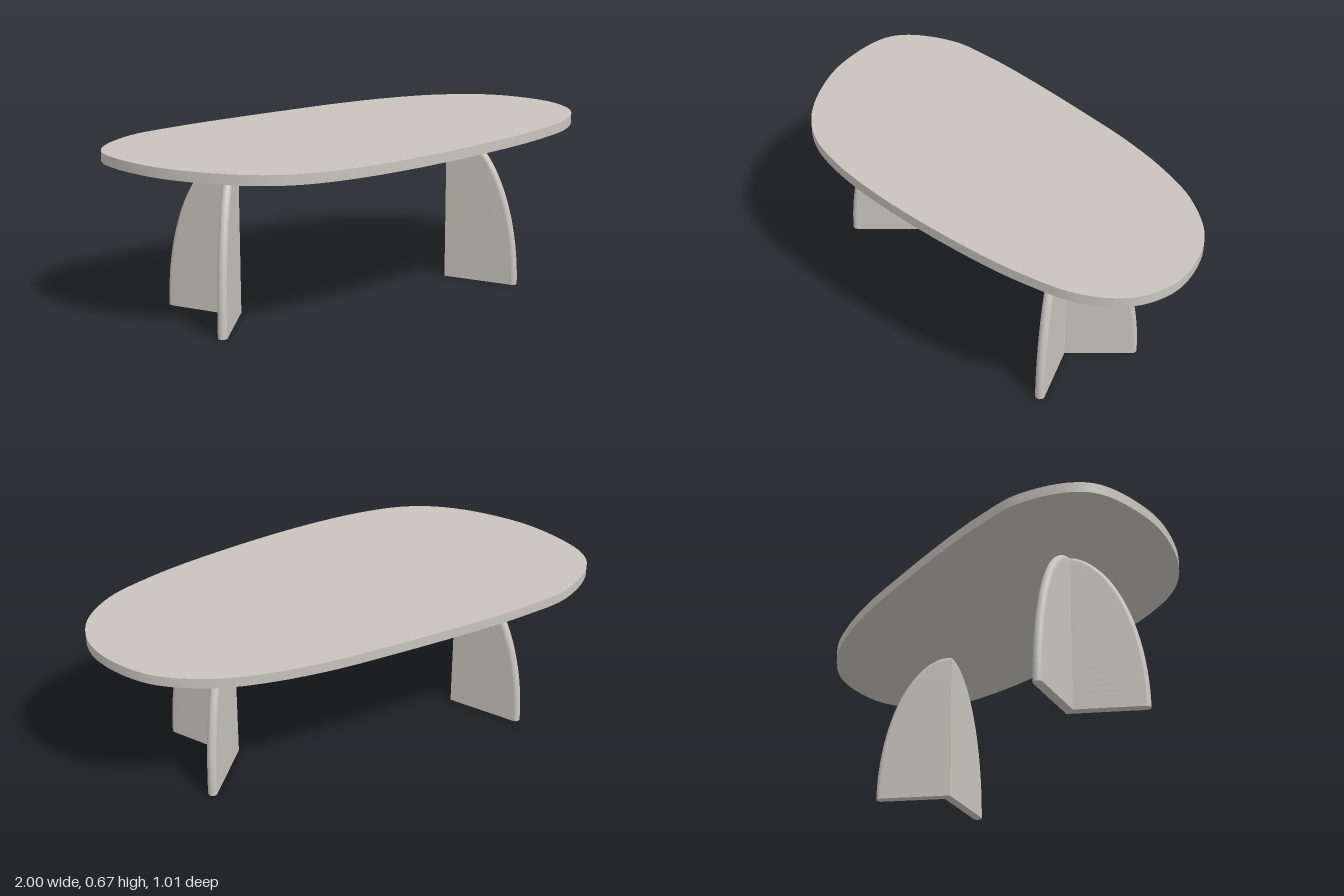
import * as THREE from 'three';
import { toCreasedNormals } from 'three/addons/utils/BufferGeometryUtils.js';

const TOP_Y = 0.67, SLAB = 0.04;
const ANGLE = THREE.MathUtils.degToRad(54.2); // wing direction away from the x axis
const R = 0.0185;                             // half thickness of a wing
const LENGTH = 0.311, HEIGHT = 0.64;          // quarter ellipse of a wing

// Free-form outline of the table top, as x, z
const OUTLINE = [
  [-1, -0.15], [-0.96, -0.26], [-0.8, -0.385], [-0.6, -0.435], [-0.4, -0.463], [0, -0.497],
  [0.22, -0.508], [0.45, -0.497], [0.65, -0.457], [0.85, -0.35], [0.96, -0.2], [1, -0.06],
  [0.97, 0.09], [0.85, 0.225], [0.65, 0.32], [0.4, 0.395], [0, 0.475], [-0.3, 0.5],
  [-0.5, 0.48], [-0.65, 0.415], [-0.8, 0.285], [-0.93, 0.1],
];

function tableTopGeometry() {
  const curve = new THREE.CatmullRomCurve3(
    OUTLINE.map(([x, z]) => new THREE.Vector3(x, z, 0)), true, 'centripetal');
  const points = curve.getPoints(160).slice(0, -1).map((p) => new THREE.Vector2(p.x, p.y));
  const geometry = new THREE.ExtrudeGeometry(new THREE.Shape(points), { depth: SLAB, bevelEnabled: false });
  geometry.rotateX(Math.PI / 2).translate(0, TOP_Y, 0);
  return toCreasedNormals(geometry, Math.PI / 5);
}

// Quarter-ellipse panel with a rounded rim, mitred where it meets its twin.
// sx and sz choose the quadrant it points into.
function wingGeometry(sx, sz) {
  const rows = 40, arc = 10, cols = arc + 3;
  const dx = Math.cos(ANGLE), dz = Math.sin(ANGLE);
  const positions = [], index = [];
  const mitre = (w) => w / Math.tan(ANGLE);
  const add = (u, y, w) => positions.push(sx * (u * dx + w * dz), y, sz * (u * dz - w * dx));
  const tri = (a, b, c) => (sx * sz > 0 ? index.push(a, b, c) : index.push(a, c, b));

  for (let i = 0; i <= rows; i++) {
    const phi = (i / rows) * Math.PI / 2;
    const normal = new THREE.Vector2(Math.cos(phi) / LENGTH, Math.sin(phi) / HEIGHT).normalize();
    const section = [];
    for (let j = 0; j <= arc; j++) {
      const s = (j / arc - 0.5) * Math.PI;
      const inset = R * (1 - Math.cos(s)), w = R * (1 + Math.sin(s));
      const u = LENGTH * Math.cos(phi) - normal.x * inset;
      section.push([Math.max(u, mitre(w)), HEIGHT * Math.sin(phi) - normal.y * inset, w]);
    }
    const y = section[0][1];
    section.unshift([0, y, 0]);
    section.push([mitre(2 * R), y, 2 * R]);
    section.forEach((p) => add(...p));
  }
  for (let i = 0; i < rows; i++) {
    for (let j = 0; j < cols - 1; j++) {
      const a = i * cols + j, b = a + 1, c = a + cols, d = c + 1;
      tri(a, b, c);
      tri(b, d, c);
    }
  }
  // Flat foot
  const foot = positions.length / 3;
  positions.push(...positions.slice(0, cols * 3));
  for (let j = 1; j < cols - 1; j++) tri(foot, foot + j + 1, foot + j);

  const geometry = new THREE.BufferGeometry();
  geometry.setAttribute('position', new THREE.Float32BufferAttribute(positions, 3));
  geometry.setIndex(index);
  geometry.computeVertexNormals();
  return geometry;
}

export function createModel() {
  const stone = new THREE.MeshStandardMaterial({ color: 0xc8c3bc });
  stone.name = 'warm grey';
  const table = new THREE.Group();
  table.name = 'table';

  const top = new THREE.Mesh(tableTopGeometry(), stone);
  top.name = 'tableTop';
  table.add(top);

  // V-shaped legs opening outwards
  for (const [name, x, sx] of [['rightLeg', -0.51, -1], ['leftLeg', 0.43, 1]]) {
    const leg = new THREE.Group();
    leg.name = name;
    leg.position.set(x, 0, -0.02);
    for (const [wingName, sz] of [['frontWing', 1], ['backWing', -1]]) {
      const wing = new THREE.Mesh(wingGeometry(sx, sz), stone);
      wing.name = wingName;
      leg.add(wing);
    }
    table.add(leg);
  }
  return table;
}
